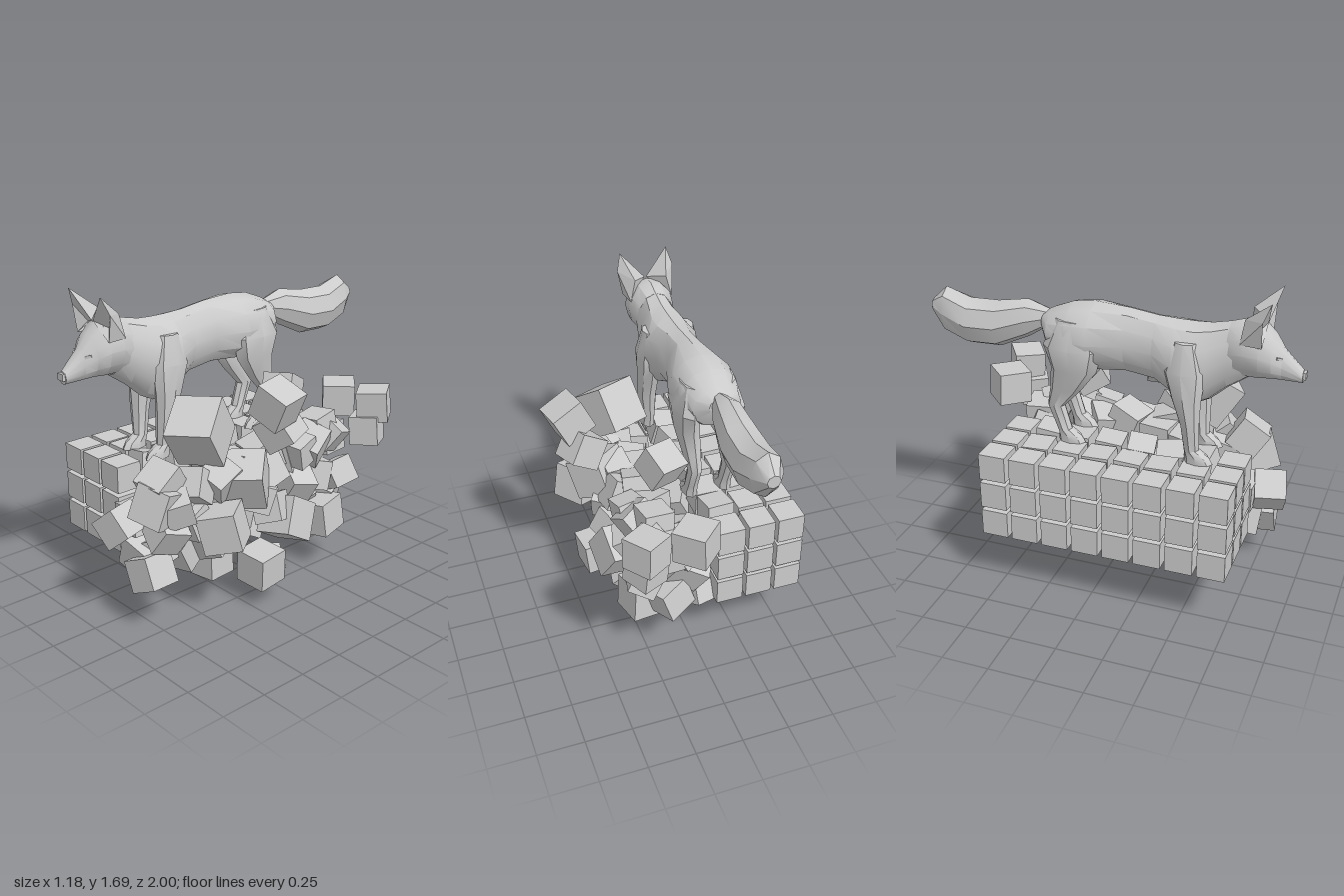
import * as THREE from 'three';
import { toCreasedNormals } from 'three/addons/utils/BufferGeometryUtils.js';

const grey = new THREE.MeshStandardMaterial({ color: 0xcccccc });
const greyTwoSided = new THREE.MeshStandardMaterial({ color: 0xcccccc, side: THREE.DoubleSide, flatShading: true });

// Small seeded generator for the rubble
let seed = 7;
const rand = (a, b) => {
  seed = (seed * 16807) % 2147483647;
  return a + (b - a) * (seed / 2147483647);
};

// Loft of elliptical rings [x, y, z, halfWidth, halfDepth], listed along +z or +y
function loft(name, rings, axis, n = 12) {
  const pos = [], idx = [];
  for (const [x, y, z, w, d] of rings) {
    for (let k = 0; k < n; k++) {
      const a = (k / n) * Math.PI * 2;
      const c = Math.cos(a), s = Math.sin(a);
      if (axis === 'z') pos.push(x + w * c, y + d * s, z);
      else pos.push(x + w * s, y, z + d * c);
    }
  }
  for (let i = 0; i < rings.length - 1; i++) {
    for (let k = 0; k < n; k++) {
      const a = i * n + k, b = i * n + ((k + 1) % n);
      idx.push(a, b, b + n, a, b + n, a + n);
    }
  }
  const last = (rings.length - 1) * n;
  for (let k = 1; k < n - 1; k++) {
    idx.push(0, k + 1, k, last, last + k, last + k + 1);
  }
  const g = new THREE.BufferGeometry();
  g.setAttribute('position', new THREE.Float32BufferAttribute(pos, 3));
  g.setIndex(idx);
  const mesh = new THREE.Mesh(toCreasedNormals(g, 0.55), grey);
  mesh.name = name;
  return mesh;
}

// Ring along z given by its top and bottom heights
const span = (z, top, bottom, w) => [0, (top + bottom) / 2, z, w, (top - bottom) / 2];

// Broad pointed ear with a hollow front
function ear() {
  const tip = [0.135, 1.69, 0.84], outer = [0.162, 1.6, 0.805], low = [0.135, 1.46, 0.8];
  const inner = [0.005, 1.545, 0.8], back = [0.09, 1.58, 0.705], lowBack = [0.12, 1.46, 0.69];
  const hollow = [0.09, 1.52, 0.765];
  const faces = [
    tip, outer, back, tip, back, inner, outer, low, lowBack, outer, lowBack, back, inner, back, lowBack,
    tip, inner, hollow, tip, hollow, outer, outer, hollow, low, inner, low, hollow,
  ];
  const g = new THREE.BufferGeometry();
  g.setAttribute('position', new THREE.Float32BufferAttribute(faces.flat(), 3));
  g.computeVertexNormals();
  const mesh = new THREE.Mesh(g, greyTwoSided);
  mesh.name = 'ear';
  return mesh;
}

// Foot shared by all legs: paw and ankle rings, with the paw ahead of the ankle
const foot = (x, z) => [
  [x, 0.78, z + 0.04, 0.042, 0.075], [x, 0.815, z + 0.03, 0.042, 0.065], [x, 0.85, z, 0.038, 0.04],
];

function createFox() {
  const fox = new THREE.Group();
  fox.name = 'fox';

  fox.add(loft('body', [
    span(-0.36, 1.45, 1.36, 0.06), span(-0.31, 1.48, 1.26, 0.13), span(-0.2, 1.525, 1.2, 0.165),
    span(-0.08, 1.54, 1.18, 0.175), span(0.1, 1.53, 1.19, 0.12), span(0.25, 1.51, 1.17, 0.12),
    span(0.36, 1.505, 1.11, 0.16), span(0.45, 1.505, 1.06, 0.16), span(0.53, 1.51, 1.1, 0.13),
    span(0.62, 1.53, 1.18, 0.11), span(0.72, 1.55, 1.25, 0.1),
  ], 'z'));

  fox.add(loft('head', [
    span(0.62, 1.53, 1.25, 0.1), span(0.7, 1.555, 1.26, 0.13), span(0.78, 1.545, 1.26, 0.128),
    span(0.84, 1.49, 1.265, 0.1), span(0.885, 1.425, 1.26, 0.058), span(0.985, 1.325, 1.26, 0.032),
  ], 'z'));

  const nose = new THREE.Mesh(new THREE.BoxGeometry(0.045, 0.035, 0.03), grey);
  nose.name = 'nose';
  nose.position.set(0, 1.3, 0.985);
  fox.add(nose);

  fox.add(loft('tail', [
    span(-1, 1.44, 1.37, 0.035), span(-0.92, 1.515, 1.26, 0.085), span(-0.78, 1.47, 1.215, 0.108),
    span(-0.62, 1.475, 1.22, 0.105), span(-0.45, 1.505, 1.3, 0.08), span(-0.33, 1.465, 1.38, 0.035),
  ], 'z', 8));

  // Mirrored legs, ears and eyes
  for (const side of [1, -1]) {
    const half = new THREE.Group();
    half.name = side > 0 ? 'leftSide' : 'rightSide';
    half.scale.x = side;
    half.add(loft('frontLeg', [
      ...foot(0.1, 0.465), [0.11, 1.0, 0.455, 0.055, 0.05], [0.112, 1.12, 0.435, 0.06, 0.075],
      [0.115, 1.28, 0.42, 0.066, 0.11], [0.1, 1.43, 0.42, 0.045, 0.06],
    ], 'y', 8));
    half.add(loft('hindLeg', [
      ...foot(0.095, -0.225), [0.095, 0.98, -0.27, 0.038, 0.048], [0.1, 1.08, -0.215, 0.05, 0.085],
      [0.11, 1.2, -0.165, 0.065, 0.125], [0.12, 1.32, -0.165, 0.067, 0.16], [0.1, 1.46, -0.16, 0.04, 0.1],
    ], 'y', 8));
    half.add(ear());
    const eye = new THREE.Mesh(new THREE.BoxGeometry(0.035, 0.012, 0.02), grey);
    eye.name = 'eye';
    eye.position.set(0.058, 1.39, 0.87);
    eye.rotation.set(0, 0.7, 0.35);
    half.add(eye);
    fox.add(half);
  }
  fox.position.x = -0.185;
  return fox;
}

const cube = new THREE.BoxGeometry(1, 1, 1);
function block(name, x, y, z, size, rx, ry, rz) {
  const m = new THREE.Mesh(cube, grey);
  m.name = name;
  m.position.set(x, y, z);
  m.rotation.set(rx, ry, rz, 'ZYX');
  m.scale.setScalar(size);
  return m;
}
const tilts = (t) => [rand(-t, t), rand(-t, t), rand(-t, t)];

export function createModel() {
  const model = new THREE.Group();
  model.add(createFox());

  // Wall of stacked cubes, more shaken in the columns nearest the collapse
  const wall = new THREE.Group();
  wall.name = 'stackedCubes';
  for (let i = 0; i < 3; i++) {
    for (let j = 0; j < 3; j++) {
      for (let k = 0; k < 8; k++) {
        const t = k > 0 && k < 7 ? [0, 0.05, 0.25][i] : 0;
        wall.add(block('cube', -0.515 + i * 0.165, 0.372 + j * 0.166 + rand(0, t * 0.1),
          -0.513 + k * 0.169, 0.145, ...tilts(t)));
      }
    }
  }
  model.add(wall);

  // Large loose cubes thrown out to one side: x, y, z, size, tilts
  const rubble = new THREE.Group();
  rubble.name = 'looseCubes';
  const loose = [
    [0.16, 0.975, 0.42, 0.25, 0.65, 0.5, 0.1], [0.46, 1.14, 0.17, 0.18, 0, 0.2, -0.44],
    [0.41, 0.98, 0.1, 0.17, 0.3, 0.2, 0.6], [0.08, 1.02, -0.23, 0.17, -0.45, 0.4, 0.1],
    [0.06, 0.88, -0.7, 0.18, 0.05, 0.78, 0], [0.32, 0.9, -0.71, 0.17, 0.1, 0.6, 0.1],
    [0.31, 0.76, -0.67, 0.16, 0, 0.5, 0.1], [0.18, 0.8, -0.4, 0.16, 0.15, 0.1, 0.1],
    [0.18, 0.66, 0.71, 0.19, -0.35, 0.3, -0.2], [0, 0.525, 0.82, 0.165, 0.2, 0.2, 0.7],
    [0.16, 0.3, 0.75, 0.17, 0, 0.1, 0.42], [0.15, 0.4, 0.37, 0.21, 0.5, 0.1, 0.4],
    [0.35, 0.51, 0.43, 0.2, 0.2, 0.6, 0.3], [0.29, 0.7, 0.23, 0.22, 0.5, 0.7, 0.1],
    [0.28, 0.38, -0.08, 0.21, -0.5, 0.2, 0.2], [0.34, 0.2, 0.16, 0.18, 0.05, 0.1, -0.08],
    [0.2, 0.115, 0, 0.145, -0.3, 0.1, 0.75], [0, 0.13, 0.22, 0.17, 0, 0.1, 0.05],
    [0.24, 0.3, -0.38, 0.19, 0.1, 0.2, 0.1], [0.12, 0.7, -0.52, 0.17, 0, 0.15, 0.1],
  ];
  for (const b of loose) rubble.add(block('largeCube', ...b));

  // Smaller tumbled cubes filling the collapse
  for (let k = 0; k < 8; k++) {
    for (let i = 0; i < 6; i++) {
      const x = -0.02 + (i % 3) * 0.13 + rand(-0.05, 0.05);
      const y = 0.36 + Math.floor(i / 2) * 0.17 + rand(-0.06, 0.06);
      const z = -0.49 + k * 0.165 + rand(-0.05, 0.05);
      rubble.add(block('smallCube', x, y, z, rand(0.14, 0.18), ...tilts(0.6)));
    }
  }
  model.add(rubble);
  return model;
}
